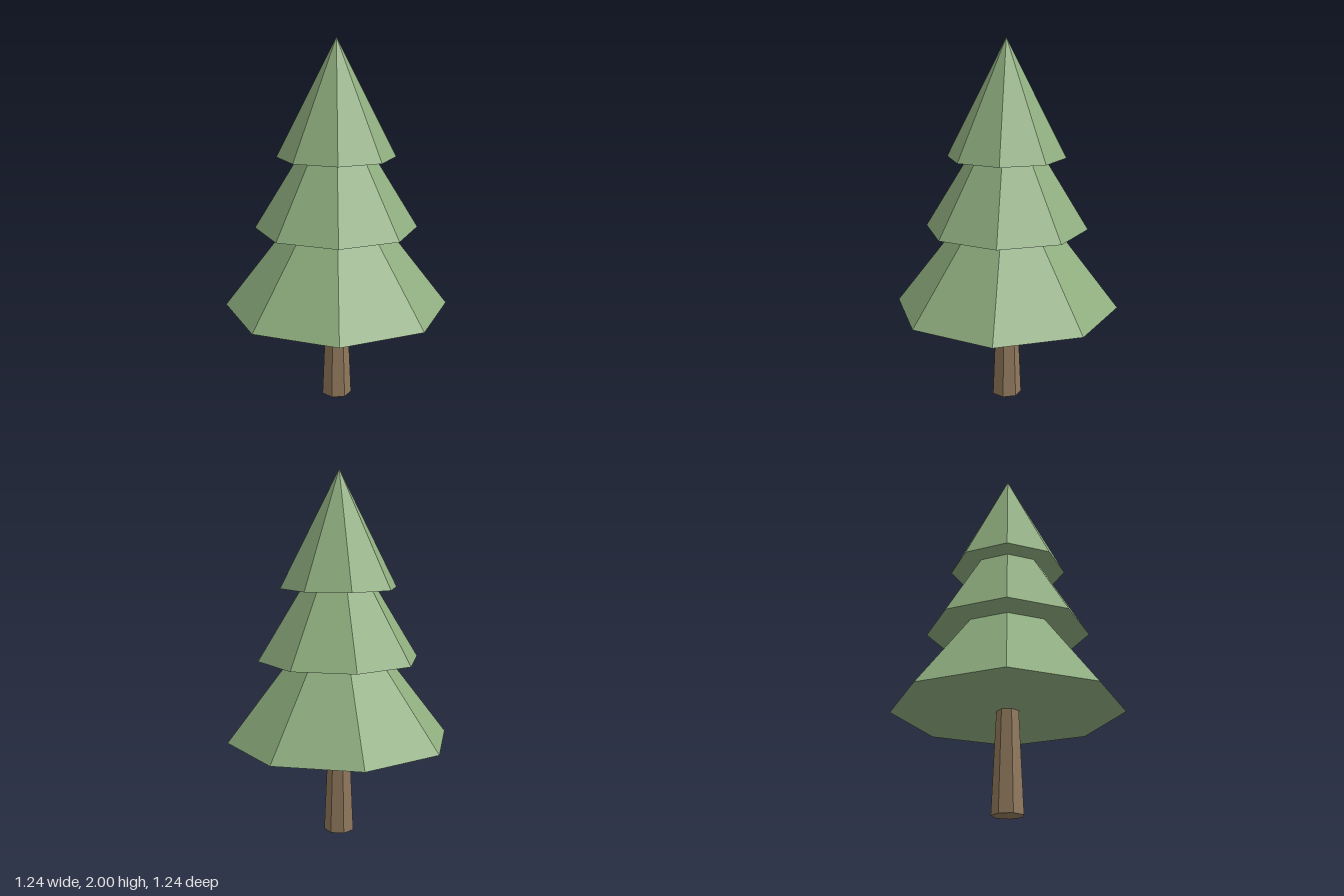
import * as THREE from 'three';

export function createModel() {
  const tree = new THREE.Group();
  tree.name = 'pineTree';

  const foliage = new THREE.MeshStandardMaterial({ color: 0x8fae7f, flatShading: true });
  foliage.name = 'foliage green';
  const bark = new THREE.MeshStandardMaterial({ color: 0x8f775b, flatShading: true });
  bark.name = 'bark brown';

  // Seven-sided tapered trunk with one corner on +x, sunk slightly into the foliage
  const trunkHeight = 0.6;
  const trunk = new THREE.Mesh(
    new THREE.CylinderGeometry(0.058, 0.085, trunkHeight, 7, 1, false, Math.PI / 2),
    bark
  );
  trunk.name = 'trunk';
  trunk.position.y = trunkHeight / 2;
  tree.add(trunk);

  // Three overlapping eight-sided cones
  const tiers = [
    { name: 'lowerBranches', radius: 0.62, base: 0.54, tip: 1.34 },
    { name: 'middleBranches', radius: 0.446, base: 0.985, tip: 1.71 },
    { name: 'topBranches', radius: 0.322, base: 1.375, tip: 2 },
  ];
  for (const { name, radius, base, tip } of tiers) {
    const tier = new THREE.Mesh(new THREE.ConeGeometry(radius, tip - base, 8), foliage);
    tier.name = name;
    tier.position.y = (base + tip) / 2;
    tree.add(tier);
  }

  return tree;
}
